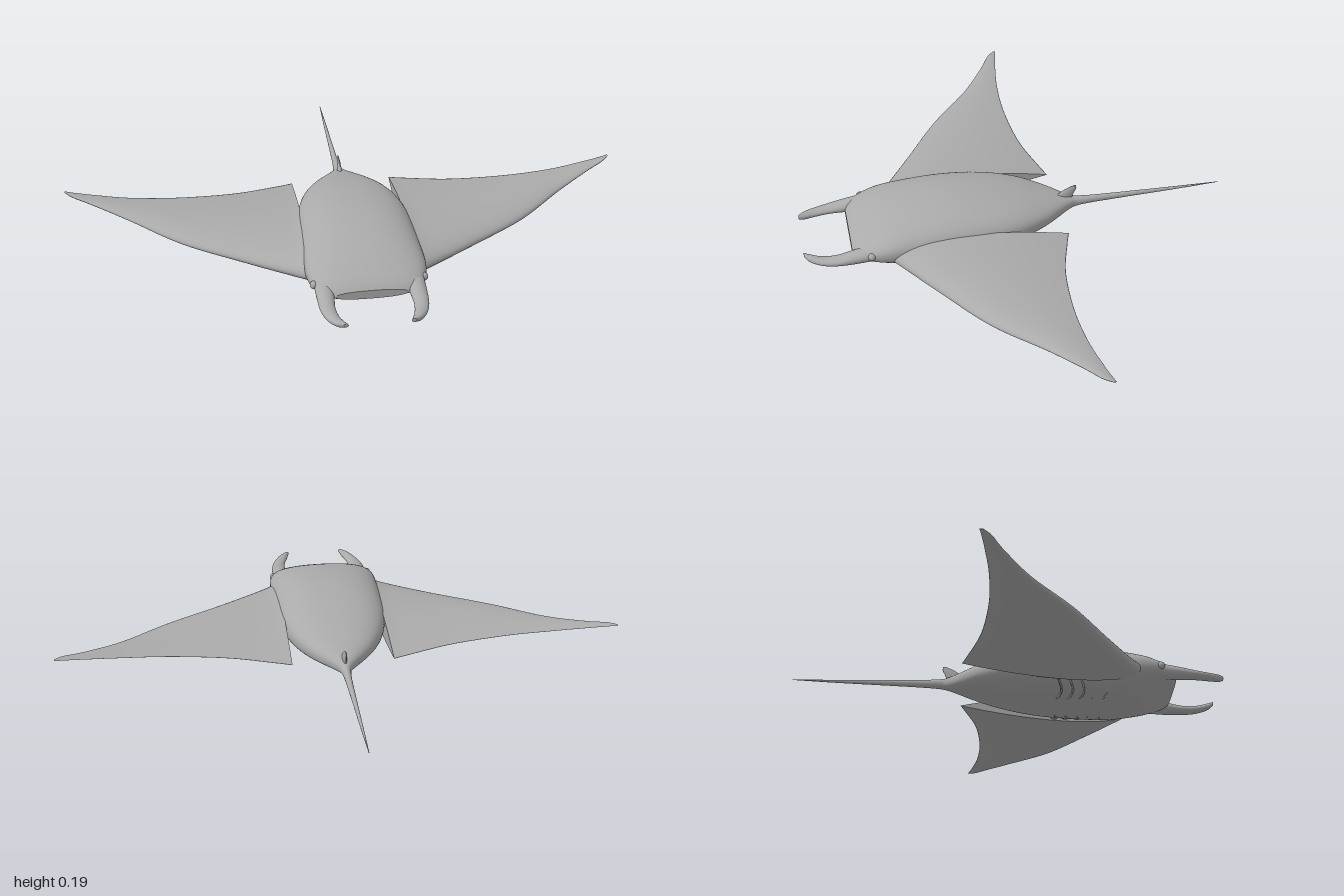
import * as THREE from 'three';

const skin = new THREE.MeshStandardMaterial({ color: 0xaaaaaa });
skin.name = 'grey skin';

// Closed skin over a list of rings (arrays of [x, y, z]) with capped ends, always facing outward
function loft(rings) {
  const n = rings[0].length, pos = [], idx = [];
  rings.forEach(r => r.forEach(p => pos.push(...p)));
  for (let i = 0; i < rings.length - 1; i++) {
    for (let j = 0; j < n; j++) {
      const k = (j + 1) % n, a = i * n + j, b = i * n + k;
      idx.push(a, b, a + n, b, b + n, a + n);
    }
  }
  for (const end of [0, rings.length - 1]) {
    const ring = rings[end], start = pos.length / 3;
    ring.forEach(p => pos.push(...p));
    pos.push(...[0, 1, 2].map(c => ring.reduce((s, p) => s + p[c], 0) / n));
    for (let j = 0; j < n; j++) {
      const a = start + j, b = start + (j + 1) % n;
      if (end) idx.push(a, b, start + n); else idx.push(b, a, start + n);
    }
  }
  // Signed volume tells whether the winding must be turned round
  const v = i => new THREE.Vector3(pos[i * 3], pos[i * 3 + 1], pos[i * 3 + 2]);
  let volume = 0;
  for (let i = 0; i < idx.length; i += 3) volume += v(idx[i]).dot(v(idx[i + 1]).cross(v(idx[i + 2])));
  if (volume < 0) idx.reverse();
  const g = new THREE.BufferGeometry();
  g.setAttribute('position', new THREE.Float32BufferAttribute(pos, 3));
  g.setIndex(idx);
  g.computeVertexNormals();
  return g;
}

// Smoothly resamples a table of stations
function resample(rows, steps) {
  const f = new THREE.CubicInterpolant(rows.map((_, i) => i), rows.flat(), rows[0].length, []);
  return Array.from({ length: steps + 1 }, (_, i) => [...f.evaluate(i / steps * (rows.length - 1))]);
}

// Rounded sections along z; station = [z, centre x, half width, top y, bottom y]
function tubeAlongZ(stations, steps, sides, power = 1, mirror = 1) {
  const soft = c => Math.sign(c) * Math.abs(c) ** power;
  return loft(resample(stations, steps).map(([z, cx, w, top, bottom]) =>
    Array.from({ length: sides }, (_, j) => {
      const a = j / sides * Math.PI * 2;
      return [mirror * (cx + w * soft(Math.cos(a))),
        (top + bottom) / 2 + (top - bottom) / 2 * soft(Math.sin(a)), z];
    })));
}

// Wing station = [x, lead z, trail z, lead y, trail y, rise, drop]
const WING = [
  [0.18, 0.48, -0.157, 0.077, 0.088, 0.056, 0.049],
  [0.24, 0.438, -0.138, 0.075, 0.09, 0.048, 0.046],
  [0.4, 0.335, -0.095, 0.077, 0.097, 0.036, 0.034],
  [0.6, 0.205, -0.076, 0.085, 0.107, 0.025, 0.022],
  [0.77, 0.058, -0.081, 0.102, 0.117, 0.014, 0.013],
  [0.9, -0.035, -0.098, 0.123, 0.13, 0.007, 0.007],
  [0.97, -0.077, -0.11, 0.136, 0.138, 0.004, 0.004],
  [1.0, -0.106, -0.117, 0.142, 0.142, 0.001, 0.001],
];

function wing(side) {
  const sides = 48;
  return loft(resample(WING, 42).map(([x, zl, zt, yl, yt, rise, drop]) =>
    Array.from({ length: sides }, (_, j) => {
      const a = j / sides * Math.PI * 2;
      const u = (1 - Math.cos(a)) / 2;
      const fat = Math.sqrt(u) * (1 - u) / 0.385;
      return [side * x, yl + (yt - yl) * u + fat * (a < Math.PI ? rise : -drop), zl + (zt - zl) * u];
    })));
}

export function createModel() {
  const group = new THREE.Group();
  const add = (name, geometry) => {
    const mesh = new THREE.Mesh(geometry, skin);
    mesh.name = name;
    group.add(mesh);
    return mesh;
  };

  // Domed body with a blunt snout
  add('body', tubeAlongZ([
    [-0.24, 0, 0.014, 0.106, 0.074],
    [-0.2, 0, 0.028, 0.113, 0.068],
    [-0.1, 0, 0.108, 0.142, 0.05],
    [0, 0, 0.16, 0.168, 0.031],
    [0.12, 0, 0.19, 0.187, 0.013],
    [0.25, 0, 0.199, 0.195, 0.003],
    [0.38, 0, 0.203, 0.184, 0.004],
    [0.48, 0, 0.202, 0.162, 0.023],
    [0.55, 0, 0.184, 0.132, 0.043],
    [0.585, 0, 0.155, 0.111, 0.054],
    [0.603, 0, 0.12, 0.094, 0.063],
  ], 70, 56, 0.85));

  // Whip tail
  add('tail', tubeAlongZ([
    [-0.76, 0, 0.001, 0.099, 0.097],
    [-0.6, 0, 0.005, 0.1, 0.089],
    [-0.4, 0, 0.009, 0.103, 0.081],
    [-0.27, 0, 0.013, 0.106, 0.075],
    [-0.19, 0, 0.022, 0.112, 0.068],
  ], 30, 16));

  // Small swept dorsal fin; rows are [y, z centre, half length, half width]
  add('dorsalFin', loft(resample([
    [0.1, -0.17, 0.036, 0.009],
    [0.125, -0.185, 0.03, 0.008],
    [0.145, -0.203, 0.021, 0.005],
    [0.158, -0.217, 0.006, 0.002],
  ], 12).map(([y, z, l, w]) => Array.from({ length: 20 }, (_, j) => {
    const a = j / 20 * Math.PI * 2;
    return [w * Math.cos(a), y, z + l * Math.sin(a)];
  }))));

  for (const [side, label] of [[1, 'left'], [-1, 'right']]) {
    add(label + 'Wing', wing(side));

    // Curled horn-like fin beside the mouth
    add(label + 'HeadFin', tubeAlongZ([
      [0.52, 0.15, 0.034, 0.115, 0.06],
      [0.6, 0.153, 0.029, 0.1, 0.056],
      [0.66, 0.153, 0.025, 0.087, 0.056],
      [0.71, 0.143, 0.022, 0.083, 0.057],
      [0.75, 0.125, 0.017, 0.086, 0.062],
      [0.77, 0.109, 0.008, 0.087, 0.073],
    ], 30, 24, 1, side));

    // Eye bump
    const eye = add(label + 'Eye', new THREE.SphereGeometry(0.014, 20, 14));
    eye.position.set(side * 0.183, 0.092, 0.54);

    // Five gill ridges following the curve of the belly
    for (let i = 0; i < 5; i++) {
      const points = Array.from({ length: 7 }, (_, j) => {
        const t = j / 6, x = 0.075 + 0.095 * t;
        const y = 0.1 - 0.096 * (1 - (x / 0.2) ** 2.35) ** 0.425;
        return new THREE.Vector3(side * x, y, 0.18 + i * 0.04 + 0.014 * Math.sin(t * Math.PI));
      });
      add(label + 'Gill' + (i + 1),
        new THREE.TubeGeometry(new THREE.CatmullRomCurve3(points), 16, 0.0035, 6));
    }
  }
  return group;
}
